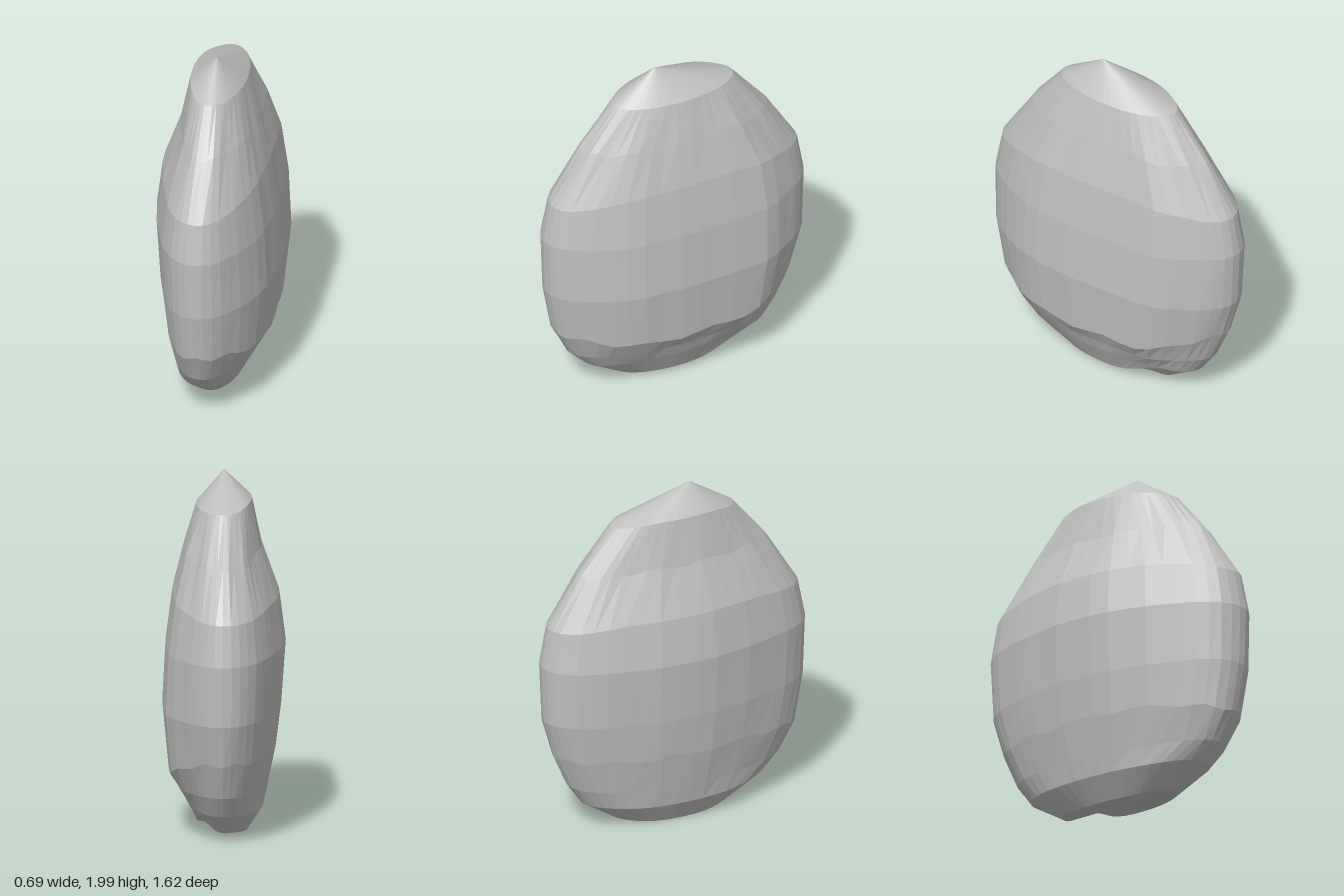
import * as THREE from 'three';

const SIDES = 44;

// Each ring: half widths [left, right, front, back], then heights at those four ends
const RINGS = [
  [0.14, 0.14, 0.36, 0.36, 0.04, 0.01, 0.04, 0.03],
  [0.22, 0.22, 0.56, 0.56, 0.19, 0.14, 0.16, 0.16],
  [0.255, 0.245, 0.66, 0.645, 0.27, 0.25, 0.26, 0.28],
  [0.31, 0.29, 0.75, 0.73, 0.36, 0.47, 0.43, 0.48],
  [0.343, 0.32, 0.8, 0.795, 0.71, 0.71, 0.71, 0.71],
  [0.325, 0.345, 0.81, 0.81, 1.05, 1.06, 1.05, 1.05],
  [0.285, 0.31, 0.765, 0.77, 1.35, 1.33, 1.28, 1.28],
  [0.22, 0.21, 0.57, 0.585, 1.6, 1.6, 1.59, 1.57],
  [0.155, 0.155, 0.375, 0.375, 1.83, 1.86, 1.83, 1.83],
];

// Smooth swelling around one direction
const bump = (a, centre, width) => Math.exp(-(((a - centre) / width) ** 2));

// Point on a ring: an ellipse with its own width and height in each direction
function ringPoint(j, i) {
  const [l, r, f, b, yl, yr, yf, yb] = RINGS[j];
  const a = (i % SIDES) / SIDES * Math.PI * 2;
  const c = Math.cos(a), s = Math.sin(a);
  let x = c * (c > 0 ? l : r);
  const z = s * (s > 0 ? f : b);
  const side = THREE.MathUtils.smoothstep(c * c, 0, 1);
  let y = side * (c > 0 ? yl : yr) + (1 - side) * (s > 0 ? yf : yb);
  // uneven faces: shoulders on the left, a thinner right front, fine ripples
  if (j > 1 && j < 8) {
    x *= 1 + 0.11 * bump(a, 5.68, 0.22) + 0.05 * bump(a, 0.55, 0.25)
      - 0.08 * bump(a, 2.5, 0.4) - 0.04 * bump(a, 3.75, 0.3) + 0.008 * Math.sin(17 * a);
  }
  // chipped edges on two of the rings
  if (j === 3 || j === 7) y += 0.012 * Math.sin(11 * a + j);
  // scooped nick in the lower left edge
  if (j === 0) {
    const nick = bump(a, 5.5, 0.36);
    x *= 1 + 0.45 * nick;
    y += 0.075 * nick;
  }
  return [x, y, z];
}

function flatGeometry(triangles) {
  const geometry = new THREE.BufferGeometry();
  geometry.setAttribute('position', new THREE.Float32BufferAttribute(triangles.flat(), 3));
  geometry.computeVertexNormals();
  return geometry;
}

export function createModel() {
  const group = new THREE.Group();
  group.name = 'stone';
  const grey = new THREE.MeshStandardMaterial({ color: 0xbfbfbf });
  grey.name = 'stone grey';

  const body = [], top = [], base = [];
  const last = RINGS.length - 1;
  const apex = [0, 2, 0.11], baseCentre = [0, 0.03, 0];
  for (let i = 0; i < SIDES; i++) {
    // bands of facets between neighbouring rings
    for (let j = 0; j < last; j++) {
      const p = ringPoint(j, i), q = ringPoint(j, i + 1);
      const u = ringPoint(j + 1, i), v = ringPoint(j + 1, i + 1);
      body.push(p, u, q, q, u, v);
    }
    // pointed cap and flat underside
    top.push(ringPoint(last, i), apex, ringPoint(last, i + 1));
    base.push(ringPoint(0, i), ringPoint(0, i + 1), baseCentre);
  }

  for (const [name, triangles] of [['facetedBody', body], ['pointedTop', top], ['underside', base]]) {
    const mesh = new THREE.Mesh(flatGeometry(triangles), grey);
    mesh.name = name;
    group.add(mesh);
  }
  return group;
}
